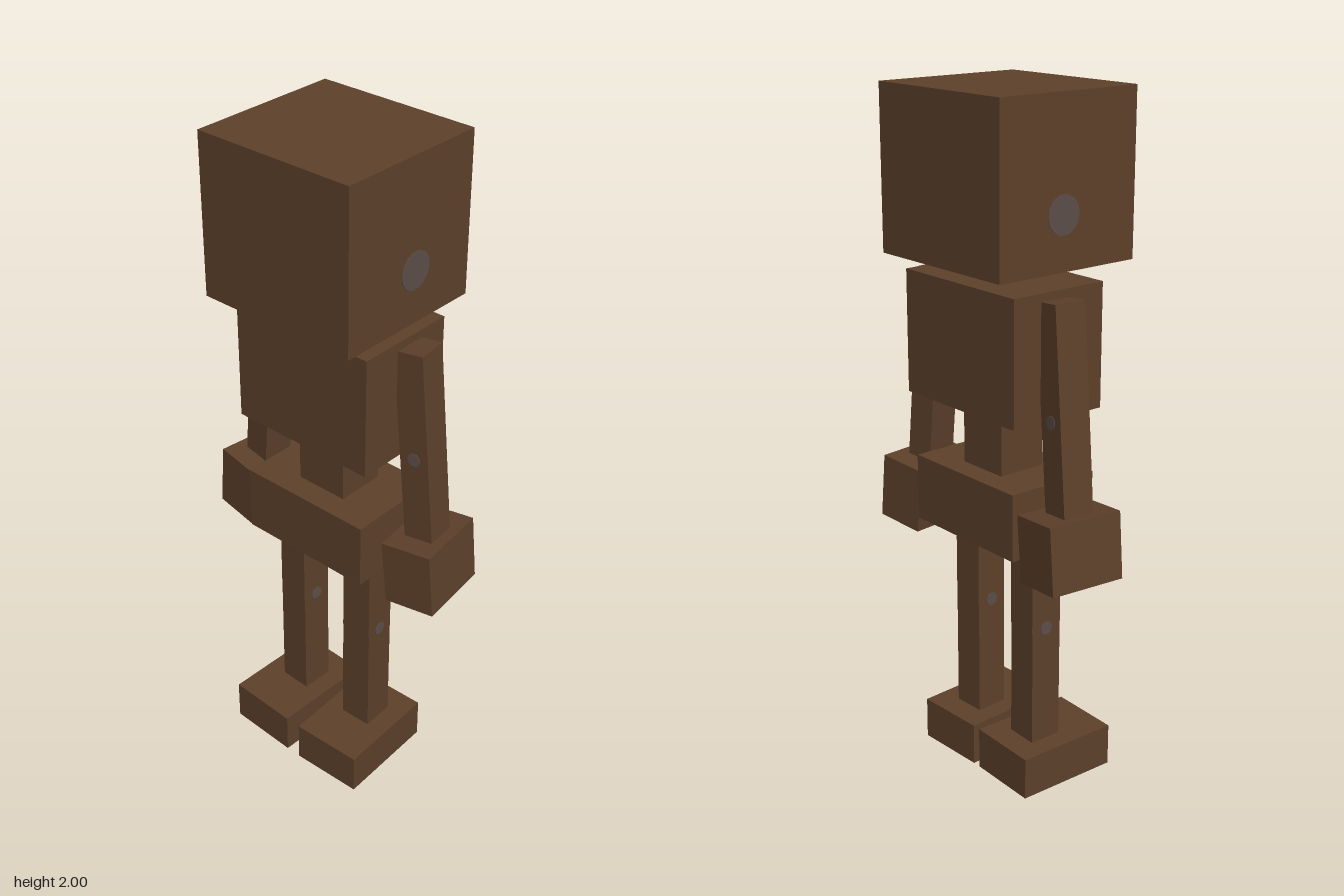
import * as THREE from 'three';

export function createModel() {
  const wood = new THREE.MeshStandardMaterial({ color: 0x5e412b });
  wood.name = 'brown wood';
  const metal = new THREE.MeshStandardMaterial({ color: 0x5d4f4b });
  metal.name = 'grey metal';

  const model = new THREE.Group();
  model.name = 'blockFigure';

  // Block given by its size and centre
  function block(parent, name, size, pos) {
    const mesh = new THREE.Mesh(new THREE.BoxGeometry(...size), wood);
    mesh.name = name;
    mesh.position.set(...pos);
    parent.add(mesh);
  }

  // Thin round plate lying on a face, along the x or z axis
  function bolt(parent, name, radius, axis, pos) {
    const geometry = new THREE.CylinderGeometry(radius, radius, 0.003, 14);
    if (axis === 'x') geometry.rotateZ(Math.PI / 2);
    else geometry.rotateX(Math.PI / 2);
    const mesh = new THREE.Mesh(geometry, metal);
    mesh.name = name;
    mesh.position.set(...pos);
    parent.add(mesh);
  }

  // Head and trunk
  block(model, 'head', [0.497, 0.46, 0.465], [0, 1.77, -0.001]);
  block(model, 'neck', [0.102, 0.07, 0.1], [-0.002, 1.515, -0.013]);
  block(model, 'chest', [0.46, 0.355, 0.312], [0, 1.3125, -0.015]);
  block(model, 'waist', [0.163, 0.21, 0.15], [-0.002, 1.04, -0.016]);
  block(model, 'pelvis', [0.423, 0.195, 0.293], [-0.002, 0.8475, -0.014]);

  for (const [label, s] of [['left', 1], ['right', -1]]) {
    bolt(model, label + 'HeadBolt', 0.054, 'x', [s * 0.2485, 1.69, -0.02]);

    // Arm, leaning outwards and turned slightly to the side
    const arm = new THREE.Group();
    arm.name = label + 'Arm';
    arm.position.set(s * 0.255, 1.469, -0.033);
    arm.rotation.set(0, s * 0.118, s * 0.09);
    block(arm, label + 'UpperArm', [0.088, 0.32, 0.095], [0, -0.16, 0]);
    block(arm, label + 'Forearm', [0.088, 0.26, 0.095], [0, -0.45, 0]);
    block(arm, label + 'Hand', [0.155, 0.194, 0.23], [0, -0.675, -0.002]);
    for (const side of [1, -1]) {
      bolt(arm, label + 'ElbowBolt', 0.02, 'z', [0, -0.32, side * 0.0475]);
    }
    model.add(arm);

    // Leg with the foot turned out a little
    const leg = new THREE.Group();
    leg.name = label + 'Leg';
    leg.position.set(s * 0.125, 0, 0.002);
    leg.rotation.y = s * 0.038;
    block(leg, label + 'Thigh', [0.097, 0.272, 0.102], [0, 0.618, 0]);
    block(leg, label + 'Shin', [0.098, 0.364, 0.1], [0, 0.302, 0]);
    block(leg, label + 'Foot', [0.22, 0.127, 0.318], [s * 0.002, 0.0635, 0.034]);
    for (const side of [1, -1]) {
      bolt(leg, label + 'KneeBolt', 0.02, 'x', [side * 0.049, 0.485, 0]);
    }
    model.add(leg);
  }
  return model;
}
